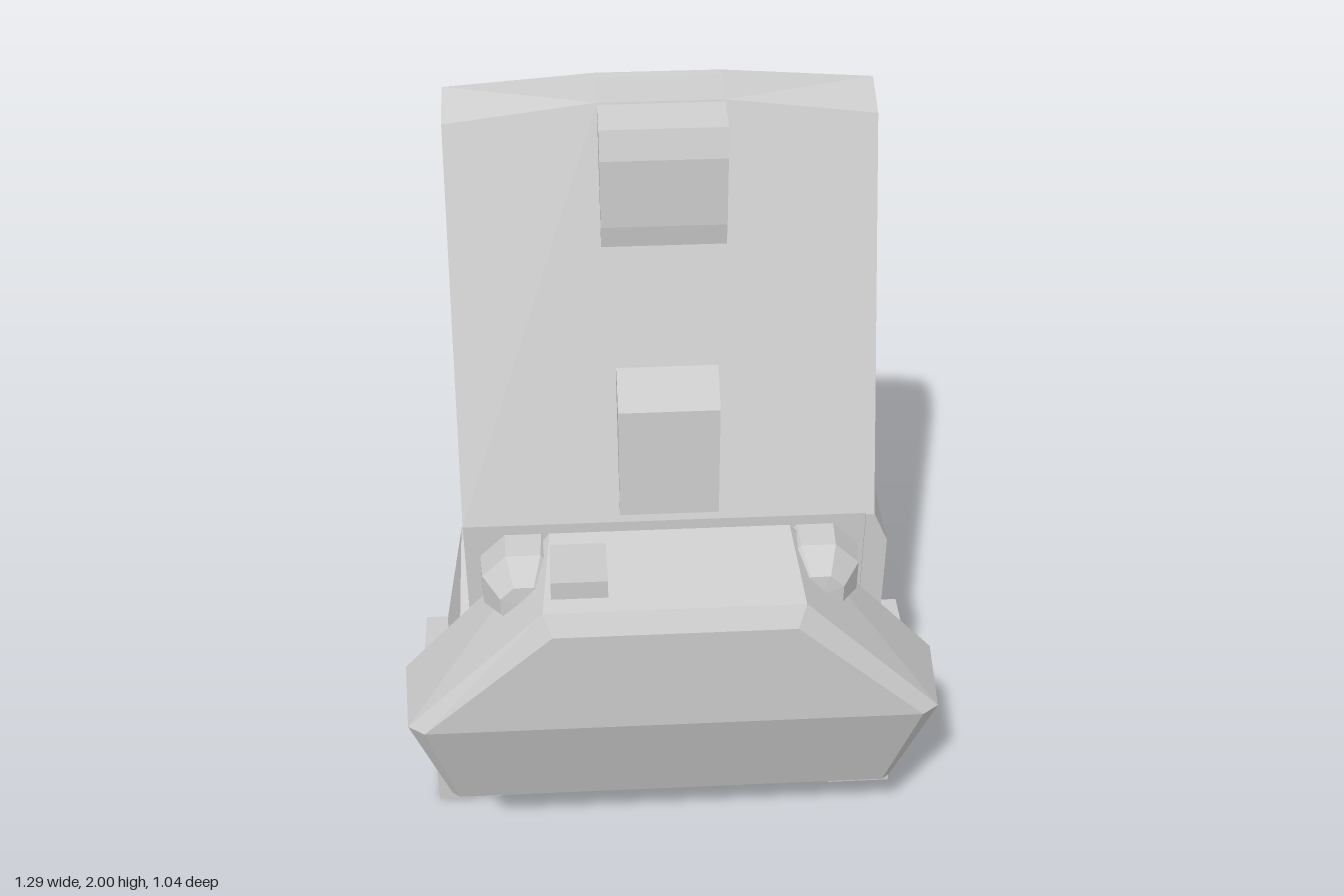
import * as THREE from 'three';
import { ConvexGeometry } from 'three/addons/geometries/ConvexGeometry.js';

const material = new THREE.MeshStandardMaterial({ color: 0xcccccc, flatShading: true });
const thin = new THREE.MeshStandardMaterial({ color: 0xcccccc, flatShading: true, side: THREE.DoubleSide });

export function createModel() {
  const model = new THREE.Group();

  const add = (name, geometry, mat = material) => {
    const mesh = new THREE.Mesh(geometry, mat);
    mesh.name = name;
    model.add(mesh);
    return mesh;
  };
  // Faceted solid around corner points [x, y, z]
  const hull = (name, points) =>
    add(name, new ConvexGeometry(points.map((p) => new THREE.Vector3(...p))));
  // Corner points repeated on both sides of x = 0
  const mirrored = (points) => points.flatMap(([x, y, z]) => [[x, y, z], [-x, y, z]]);
  // Box from its minimum and maximum corners
  const box = (name, [x0, y0, z0], [x1, y1, z1]) =>
    add(name, new THREE.BoxGeometry(x1 - x0, y1 - y0, z1 - z0))
      .position.set((x0 + x1) / 2, (y0 + y1) / 2, (z0 + z1) / 2);
  // Side profile [z, y] given a constant width about x = 0
  const slab = (name, halfWidth, profile) =>
    hull(name, mirrored(profile.map(([z, y]) => [halfWidth, y, z])));
  // Open sheet with four corners
  const sheet = (name, a, b, c, d) => {
    const g = new THREE.BufferGeometry();
    g.setAttribute('position', new THREE.Float32BufferAttribute([a, b, c, a, c, d].flat(), 3));
    g.computeVertexNormals();
    add(name, g, thin);
  };

  // Tall tapered body with an arched roof
  hull('body', mirrored([
    [0.48, 0.33, 0.27], [0.48, 1.08, 0.27], [0.48, 0.33, -0.29],
    [0.48, 1.935, -0.075], [0.14, 1.985, -0.06],
    [0.48, 1.975, -0.175], [0.14, 2.0, -0.175],
    [0.48, 1.9, -0.29], [0.14, 1.94, -0.29],
  ]));
  slab('underbody', 0.47, [[-0.04, 0.34], [-0.04, 0.165], [-0.21, 0.165], [-0.29, 0.33]]);

  // Blocks on the sloping front
  slab('upperBlock', 0.14, [
    [-0.17, 2.0], [0.03, 1.965], [0.05, 1.9], [0.055, 1.74], [0.045, 1.66], [-0.1, 1.7],
  ]);
  slab('middleBlock', 0.115, [
    [0.14, 1.41], [0.17, 1.445], [0.2, 1.435], [0.255, 1.38], [0.27, 1.1], [0.2, 1.1],
  ]);

  // Wide chamfered nose
  hull('nose', mirrored([
    [0.28, 1.065, 0.285], [0.645, 0.66, 0.285], [0.575, 0.33, 0.285],
    [0.3, 1.0, 0.49], [0.63, 0.66, 0.49], [0.55, 0.33, 0.4],
    [0.28, 0.95, 0.518], [0.59, 0.66, 0.518], [0.53, 0.33, 0.415],
  ]));
  box('noseBox', [-0.28, 0.99, 0.32], [-0.15, 1.06, 0.455]);

  // Tapered pipe under the nose
  const pipe = add('lowerPipe', new THREE.CylinderGeometry(0.055, 0.118, 0.23, 8));
  pipe.rotation.x = Math.PI / 2;
  pipe.position.set(0, 0.33, 0.075);

  // Panel on one side only
  hull('sidePanel', [
    [0.46, 1.08, 0.04], [0.46, 1.08, 0.275], [0.48, 1.08, 0.04], [0.48, 1.08, 0.275],
    [0.515, 1.0, 0.04], [0.515, 1.0, 0.275], [0.515, 0.73, 0.04], [0.515, 0.72, 0.275],
    [0.46, 0.73, 0.04], [0.46, 0.72, 0.275],
  ]);

  for (const [s, side] of [[1, 'left'], [-1, 'right']]) {
    // Flared fender
    hull(side + 'Fender', [
      [0.45, 0.33, -0.215], [0.48, 0.33, -0.215], [0.6, 0.33, -0.02], [0.58, 0.33, 0.285],
      [0.45, 0.33, 0.285], [0.45, 0.82, -0.06], [0.49, 0.82, -0.06], [0.505, 0.845, -0.02],
      [0.505, 0.845, 0.03], [0.45, 0.845, 0.03], [0.51, 0.72, 0.285], [0.45, 0.72, 0.285],
    ].map(([x, y, z]) => [s * x, y, z]));

    // Leg
    box(side + 'Leg', [s > 0 ? 0.45 : -0.615, 0, -0.015], [s > 0 ? 0.615 : -0.45, 0.55, 0.115]);

    // Faceted lamp
    const lamp = add(side + 'Lamp', new THREE.LatheGeometry(
      [[0, 0.41], [0.06, 0.405], [0.105, 0.34], [0.112, 0.26], [0, 0.26]]
        .reverse().map(([r, z]) => new THREE.Vector2(r, z)), 8));
    lamp.rotation.set(Math.PI / 2, Math.PI / 8, 0);
    lamp.position.set(s * 0.342, 0.95, 0);

    // Side wall of the rear tray
    sheet(side + 'TrayWall', [s * 0.4, 0.79, -0.29], [s * 0.315, 0.77, -0.51],
      [s * 0.33, 0.33, -0.518], [s * 0.44, 0.33, -0.29]);
  }

  // Floor of the rear tray
  sheet('trayFloor', [0.44, 0.33, -0.29], [0.33, 0.33, -0.518],
    [-0.33, 0.33, -0.518], [-0.44, 0.33, -0.29]);

  return model;
}
